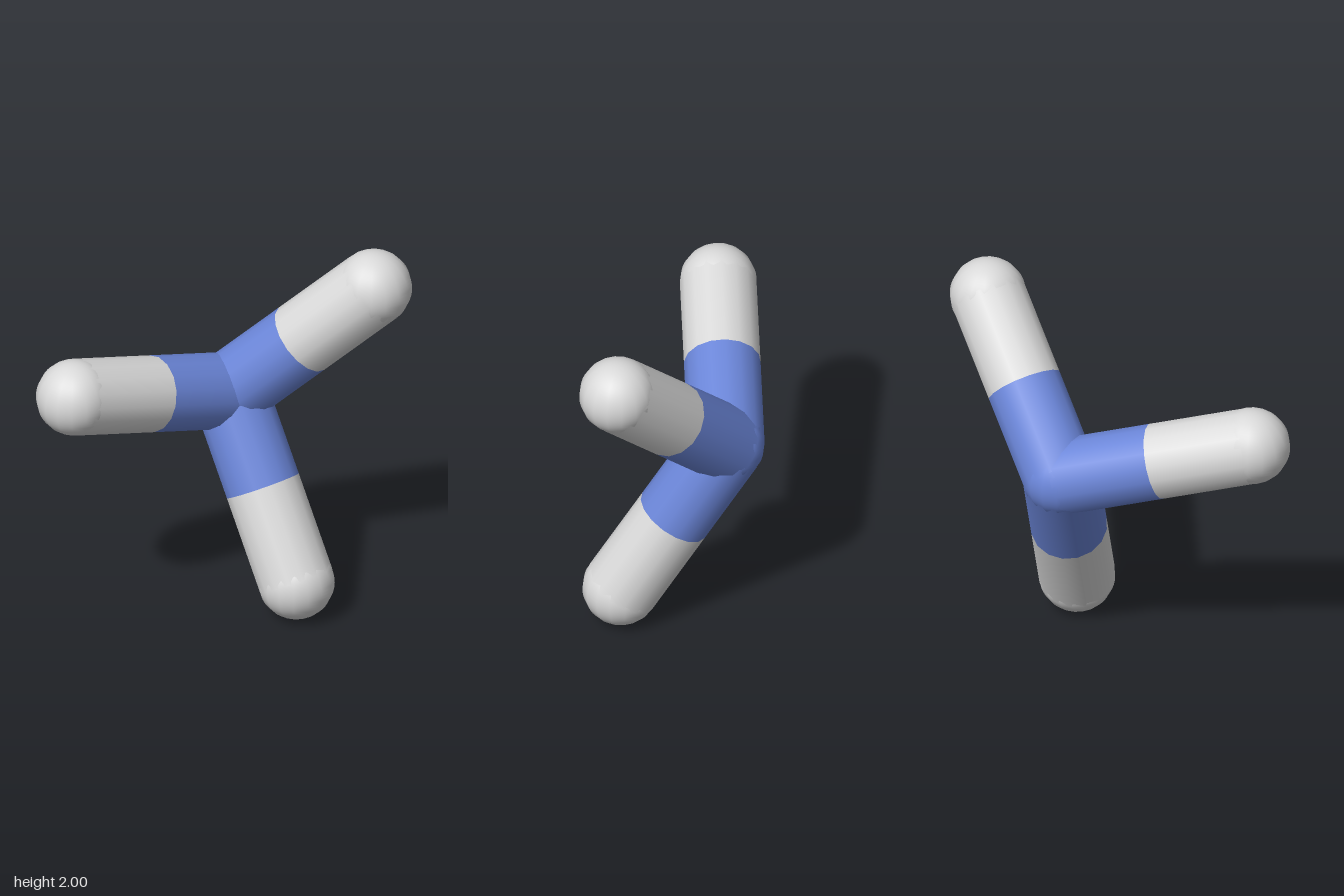
import * as THREE from 'three';

const RADIUS = 0.2;

export function createModel() {
  const blue = new THREE.MeshStandardMaterial({ color: 0x6b86d9 });
  blue.name = 'blue';
  const grey = new THREE.MeshStandardMaterial({ color: 0xd9d9d9 });
  grey.name = 'lightGrey';

  const model = new THREE.Group();
  model.name = 'threeArmedStick';
  const up = new THREE.Vector3(0, 1, 0);

  const addBall = (name, centre, material, parent) => {
    const ball = new THREE.Mesh(new THREE.SphereGeometry(RADIUS, 16, 32), material);
    ball.name = name;
    ball.position.copy(centre);
    parent.add(ball);
  };

  // Open tube between two points; its ends are closed by the balls
  const addRod = (name, from, to, material, parent) => {
    const axis = to.clone().sub(from);
    const rod = new THREE.Mesh(
      new THREE.CylinderGeometry(RADIUS, RADIUS, axis.length(), 16, 1, true), material);
    rod.name = name;
    rod.position.copy(from).add(to).multiplyScalar(0.5);
    rod.quaternion.setFromUnitVectors(up, axis.normalize());
    parent.add(rod);
  };

  // Rounded joint where the arms meet
  const hub = new THREE.Vector3(-0.15, 1.095, -0.36);
  addBall('hub', hub, blue, model);

  // Each arm: blue inner half, grey outer half and a round tip
  const tips = {
    frontArm: new THREE.Vector3(-0.6, 1.393, 0.543),
    upperArm: new THREE.Vector3(0.595, 1.8, -0.543),
    lowerArm: new THREE.Vector3(0.35, 0.2, -0.133),
  };
  for (const [name, tip] of Object.entries(tips)) {
    const arm = new THREE.Group();
    arm.name = name;
    const middle = hub.clone().lerp(tip, 0.5);
    addRod('innerRod', hub, middle, blue, arm);
    addRod('outerRod', middle, tip, grey, arm);
    addBall('roundTip', tip, grey, arm);
    model.add(arm);
  }
  return model;
}
